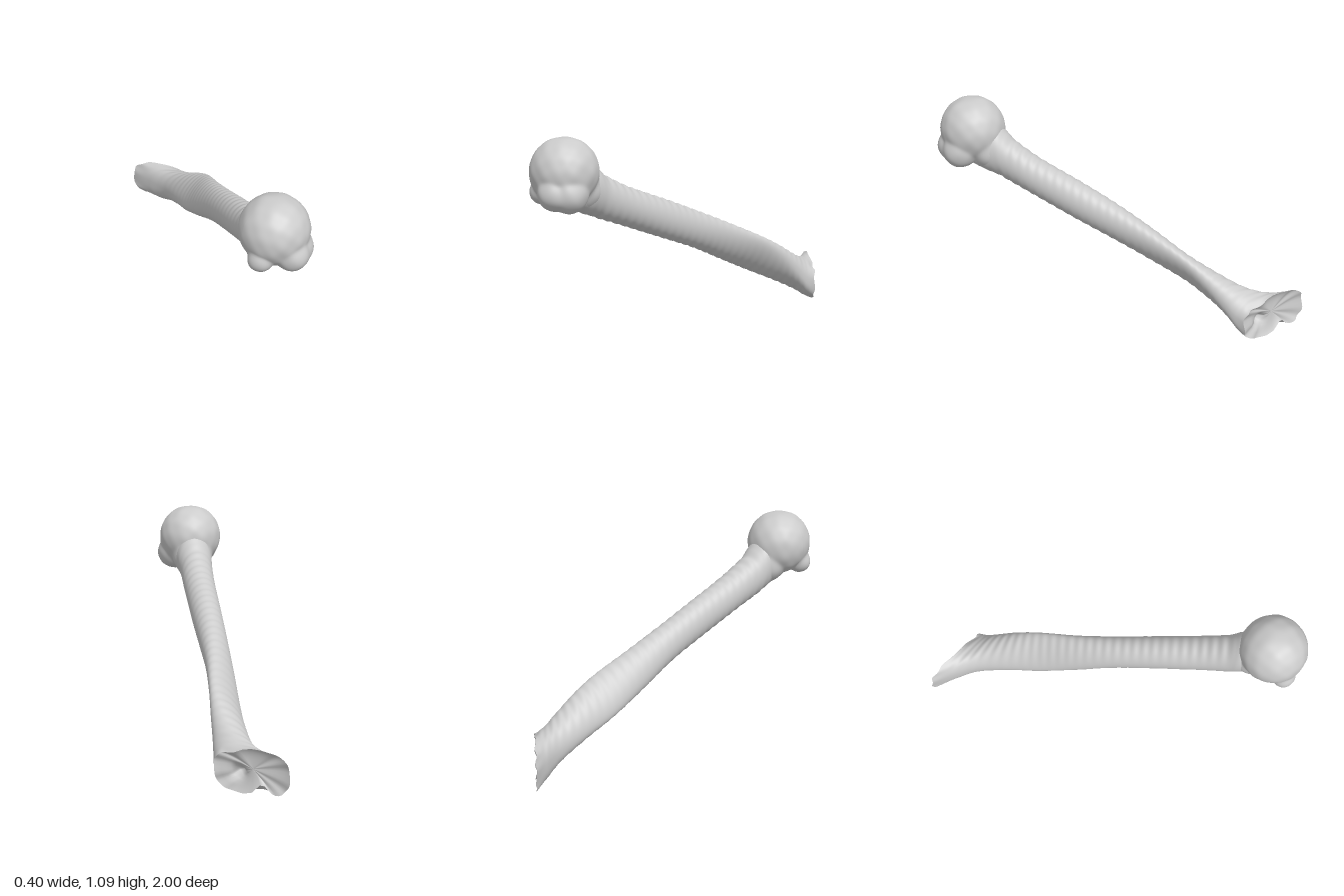
import * as THREE from 'three';

const material = new THREE.MeshStandardMaterial({ color: 0xcccccc, side: THREE.DoubleSide });
const SIDES = 56;

// Shaft stations: z, xMin, xMax, yMin, yMax, z-shear, y-tilt, squareness
const stations = [
  [0.82, -0.09, 0.08, 0.75, 0.90, 0, 0, 0],
  [0.72, -0.11, 0.085, 0.705, 0.95, 0, 0, 0],
  [0.65, -0.115, 0.078, 0.68, 0.945, 0, 0, 0],
  [0.60, -0.108, 0.074, 0.658, 0.895, 0, 0, 0],
  [0.50, -0.095, 0.08, 0.62, 0.837, 0, 0, 0],
  [0.40, -0.085, 0.085, 0.58, 0.79, 0, 0, 0],
  [0.20, -0.068, 0.095, 0.50, 0.71, 0, 0, 0],
  [0.00, -0.052, 0.103, 0.42, 0.625, 0, 0.01, 0],
  [-0.20, -0.04, 0.115, 0.325, 0.535, 0, 0.04, 0],
  [-0.40, -0.025, 0.142, 0.23, 0.44, 0, 0.065, 0],
  [-0.55, -0.012, 0.163, 0.155, 0.367, 0.02, 0.055, 0],
  [-0.70, -0.015, 0.178, 0.078, 0.285, 0.06, 0.035, 0.1],
  [-0.80, -0.06, 0.19, 0.028, 0.24, 0.09, 0.01, 0.2],
  [-0.88, -0.115, 0.2, 0.005, 0.24, 0.12, 0, 0.3],
];

// Catmull-Rom blend of the station table, t from 0 to 1
function stationAt(t) {
  const last = stations.length - 1;
  const f = t * last, i = Math.min(Math.floor(f), last - 1), u = f - i;
  const at = (k) => stations[Math.min(Math.max(k, 0), last)];
  return stations[0].map((_, c) => {
    const a = at(i - 1)[c], b = at(i)[c], d = at(i + 1)[c], e = at(i + 2)[c];
    return b + 0.5 * u * (d - a + u * (2 * a - 5 * b + 4 * d - e + u * (3 * (b - d) + e - a)));
  });
}

const rounded = (v, e) => Math.sign(v) * Math.pow(Math.abs(v), 1 - e);
const bump = (v, width) => Math.exp(-((v / width) ** 2));

// One closed section of the shaft
function section(t) {
  const [z, x0, x1, y0, y1, shear, tilt, square] = stationAt(t);
  const halfX = (x1 - x0) / 2, halfY = (y1 - y0) / 2;
  const rise = Math.sqrt(Math.max(halfY * halfY - tilt * tilt, 0.0004));
  const fade = Math.min(1, t * 5) * Math.min(1, (1 - t) * 5);
  const ripple = 1 + 0.025 * fade * Math.sin((z * Math.PI * 2) / 0.05);
  const nearEnd = THREE.MathUtils.smoothstep(t, 0.93, 1);
  return Array.from({ length: SIDES }, (_, j) => {
    const a = (j / SIDES) * Math.PI * 2;
    const c = rounded(Math.cos(a), square), s = rounded(Math.sin(a), square);
    const p = new THREE.Vector3(
      (x0 + x1) / 2 + c * halfX,
      (y0 + y1) / 2 + c * tilt + s * rise * ripple,
      z + c * shear
    );
    // Notch between the two lower lobes, and a ragged broken rim
    if (s < 0) p.y += nearEnd * 0.06 * bump(p.x - 0.0, 0.035);
    else p.y -= nearEnd * 0.025 * bump(p.x - 0.13, 0.05);
    p.z += nearEnd * 0.006 * Math.sin(a * 9);
    return p;
  });
}

// Skin a list of closed loops
function loft(loops, name) {
  const positions = [], index = [];
  loops.forEach((loop) => loop.forEach((p) => positions.push(p.x, p.y, p.z)));
  for (let i = 0; i < loops.length - 1; i++) {
    for (let j = 0; j < SIDES; j++) {
      const k = (j + 1) % SIDES;
      const a = i * SIDES + j, b = a + SIDES, c = i * SIDES + k, d = c + SIDES;
      index.push(a, b, c, b, d, c);
    }
  }
  const geometry = new THREE.BufferGeometry();
  geometry.setAttribute('position', new THREE.Float32BufferAttribute(positions, 3));
  geometry.setIndex(index);
  geometry.computeVertexNormals();
  const mesh = new THREE.Mesh(geometry, material);
  mesh.name = name;
  return mesh;
}

// Hollowed broken face closing the lower end, with a small pit
function createBrokenEnd() {
  const rim = section(1);
  const center = new THREE.Vector3(0.0425, 0.13, -0.88);
  const inward = new THREE.Vector3(-0.61, 0.15, 0.78);
  const pit = new THREE.Vector3(0.1, 0.1, -0.835);
  const loops = [1, 0.92, 0.82, 0.7, 0.58, 0.46, 0.34, 0.22, 0.1, 0.001].map((scale) =>
    rim.map((p) => {
      const q = center.clone().lerp(p, scale);
      const depth = 0.018 * (1 - scale ** 4) + 0.05 * bump(q.distanceTo(pit), 0.03);
      return q.addScaledVector(inward, scale === 1 ? 0 : depth);
    })
  );
  return loft(loops, 'brokenEnd');
}

// Rounded head: soft union of balls measured along rays from its centre
function createHead() {
  const center = new THREE.Vector3(-0.025, 0.9, 0.825);
  const balls = [
    [-0.028, 0.925, 0.815, 0.172], // joint ball
    [0.058, 0.828, 0.855, 0.094],  // large knob
    [0.02, 0.832, 0.915, 0.082],   // front knob
    [-0.125, 0.82, 0.88, 0.062],   // small knob
    [-0.02, 0.825, 0.72, 0.11],    // neck
  ];
  const geometry = new THREE.SphereGeometry(1, 96, 64);
  const pos = geometry.attributes.position;
  const dir = new THREE.Vector3(), offset = new THREE.Vector3();
  for (let i = 0; i < pos.count; i++) {
    dir.fromBufferAttribute(pos, i).normalize();
    let sum = 0;
    for (const [x, y, z, r] of balls) {
      offset.set(x, y, z).sub(center);
      const along = offset.dot(dir);
      const gap = r * r - offset.lengthSq() + along * along;
      const reach = gap > 0 ? along + Math.sqrt(gap) : 0;
      if (reach > 0) sum += reach ** 24;
    }
    let radius = sum ** (1 / 24);
    // Gentle surface unevenness and a slightly flattened crown
    radius += 0.002 * Math.sin(dir.x * 11 + 1) * Math.sin(dir.y * 9) * Math.cos(dir.z * 10);
    radius -= 0.004 * bump(Math.hypot(dir.x, dir.z), 0.2);
    dir.multiplyScalar(radius).add(center);
    pos.setXYZ(i, dir.x, dir.y, dir.z);
  }
  geometry.computeVertexNormals();
  const mesh = new THREE.Mesh(geometry, material);
  mesh.name = 'head';
  return mesh;
}

export function createModel() {
  const group = new THREE.Group();
  group.name = 'bone';
  const steps = 320;
  const loops = Array.from({ length: steps + 1 }, (_, i) => section(i / steps));
  group.add(loft(loops, 'shaft'), createBrokenEnd(), createHead());
  return group;
}
